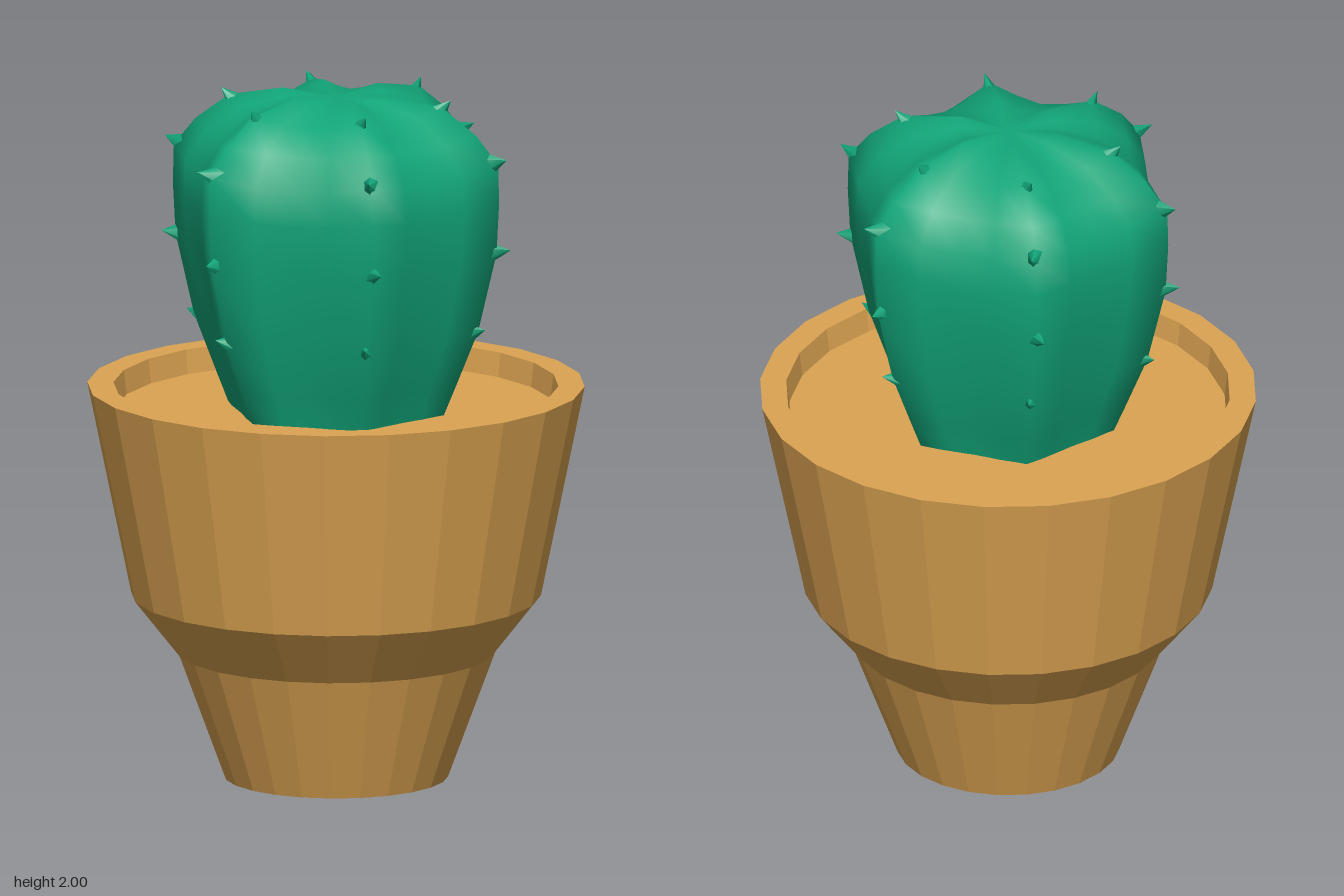
import * as THREE from 'three';

const clay = new THREE.MeshStandardMaterial({ color: 0xdca452, flatShading: true });
const green = new THREE.MeshStandardMaterial({ color: 0x12a67a });

function part(name, geometry, material) {
  const mesh = new THREE.Mesh(geometry, material);
  mesh.name = name;
  return mesh;
}

// Six-ribbed body: each ring is [rib radius, rib height, valley radius, valley height]
function ribbedBody(rings, segments) {
  const positions = [], index = [];
  for (const [ribR, ribY, valleyR, valleyY] of rings) {
    for (let i = 0; i < segments; i++) {
      const a = (i / segments) * Math.PI * 2;
      const w = 1 - Math.abs(Math.sin(3 * a));
      const r = valleyR + (ribR - valleyR) * w;
      positions.push(Math.sin(a) * r, valleyY + (ribY - valleyY) * w, Math.cos(a) * r);
    }
  }
  for (let j = 0; j < rings.length - 1; j++) {
    for (let i = 0; i < segments; i++) {
      const n = (i + 1) % segments;
      const a = j * segments + i, b = j * segments + n;
      const c = b + segments, d = a + segments;
      index.push(a, b, d, b, c, d);
    }
  }
  // Close the crown with a slightly sunken centre
  const last = (rings.length - 1) * segments;
  positions.push(0, 1.98, 0);
  for (let i = 0; i < segments; i++) {
    index.push(last + i, last + ((i + 1) % segments), rings.length * segments);
  }
  const geometry = new THREE.BufferGeometry();
  geometry.setAttribute('position', new THREE.Float32BufferAttribute(positions, 3));
  geometry.setIndex(index);
  geometry.computeVertexNormals();
  return geometry;
}

export function createModel() {
  const model = new THREE.Group();
  model.name = 'pottedCactus';

  // Pot with a narrow foot, a sloping shoulder and a thick rim
  const potProfile = [
    [0, 0], [0.32, 0], [0.455, 0.365], [0.585, 0.53],
    [0.71, 1.14], [0.635, 1.14], [0.625, 1.06],
  ].map(([x, y]) => new THREE.Vector2(x, y));
  model.add(part('pot', new THREE.LatheGeometry(potProfile, 24), clay));

  // Soil disc just below the rim
  const soil = part('soil', new THREE.CircleGeometry(0.63, 24).rotateX(-Math.PI / 2), clay);
  soil.position.y = 1.07;
  model.add(soil);

  // Cactus body
  const cactus = new THREE.Group();
  cactus.name = 'cactus';
  const rings = [
    [0.31, 1.04, 0.27, 1.04],
    [0.36, 1.16, 0.3, 1.16],
    [0.425, 1.32, 0.355, 1.32],
    [0.48, 1.55, 0.4, 1.55],
    [0.488, 1.7, 0.412, 1.68],
    [0.485, 1.81, 0.405, 1.78],
    [0.42, 1.89, 0.35, 1.87],
    [0.32, 1.965, 0.26, 1.935],
    [0.16, 1.995, 0.13, 1.975],
  ];
  cactus.add(part('cactusBody', ribbedBody(rings, 24), green));

  // Blunt thorns along each rib: [tip radius, tip height, upward pitch]
  const thorns = [
    [0.452, 1.33, 0.25], [0.518, 1.56, 0.1], [0.518, 1.83, 0.3], [0.34, 1.987, 0.8],
  ];
  const thornShape = new THREE.ConeGeometry(0.032, 0.09, 6)
    .translate(0, -0.045, 0).rotateX(Math.PI / 2).scale(1, 1.4, 1);
  for (let rib = 0; rib < 6; rib++) {
    const angle = (rib * Math.PI) / 3;
    thorns.forEach(([r, y, pitch], k) => {
      // Tips lean alternately to either side of the rib
      const a = angle + (k % 2 ? 0.035 : -0.035);
      const thorn = part('thorn', thornShape, green);
      thorn.position.set(Math.sin(a) * r, y, Math.cos(a) * r);
      thorn.rotation.set(-pitch, a + (k % 2 ? 0.25 : -0.25), 0, 'YXZ');
      cactus.add(thorn);
    });
  }
  model.add(cactus);
  return model;
}
